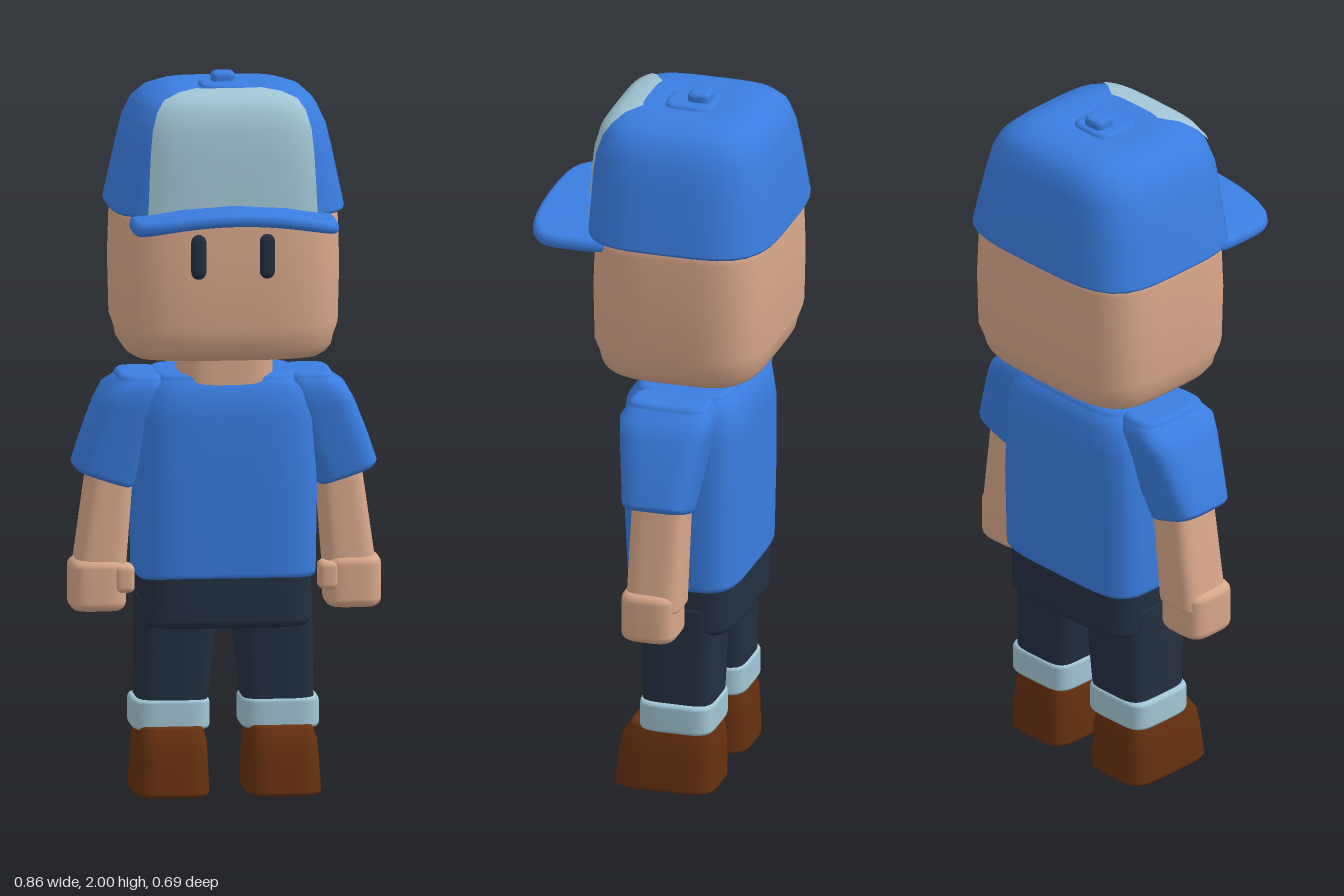
import * as THREE from 'three';

const mat = (name, color) => Object.assign(new THREE.MeshStandardMaterial({ color }), { name });

// Soft block lofted upward through superellipse sections [y, halfX, halfZ, cx, cz, tilt], with bevelled ends
function softBlock(name, material, sections, bevel = 0.02, p = 4, n = 48) {
  const rows = [];
  const end = (s, dir) => {
    const [y, hx, hz, ...rest] = s;
    const out = [[y, 0, 0, ...rest], [y, hx * 0.5, hz * 0.5, ...rest]];
    for (let k = 0; k <= 4; k++) {
      const a = (k / 4) * Math.PI / 2, inset = bevel * (1 - Math.sin(a));
      out.push([y + dir * bevel * (1 - Math.cos(a)), hx - inset, hz - inset, ...rest]);
    }
    return out;
  };
  rows.push(...end(sections[0], 1), ...sections.slice(1, -1), ...end(sections.at(-1), -1).reverse());
  const pos = [], idx = [];
  rows.forEach(([y, hx, hz, cx = 0, cz = 0, tilt = 0], j) => {
    for (let i = 0; i < n; i++) {
      const a = (i / n) * Math.PI * 2, c = Math.cos(a), s = Math.sin(a);
      const r = (Math.abs(c) ** p + Math.abs(s) ** p) ** (-1 / p);
      pos.push(cx + hx * r * c, y + hx * r * c * tilt, cz + hz * r * s);
      if (j === rows.length - 1) continue;
      const q = j * n + i, q2 = j * n + (i + 1) % n;
      idx.push(q, q + n, q2, q2, q + n, q2 + n);
    }
  });
  const g = new THREE.BufferGeometry();
  g.setAttribute('position', new THREE.Float32BufferAttribute(pos, 3));
  g.setIndex(idx);
  g.computeVertexNormals();
  const m = new THREE.Mesh(g, material);
  m.name = name;
  return m;
}

// Block of constant section, from min/max extents
const box = (name, m, [x0, x1], [y0, y1], [z0, z1], bevel, p) => {
  const s = [(x1 - x0) / 2, (z1 - z0) / 2, (x0 + x1) / 2, (z0 + z1) / 2];
  return softBlock(name, m, [[y0, ...s], [y1, ...s]], bevel, p);
};

// Pale front panel: a thin skin following the cap rows
function capPanel(material, rows, widths, p = 4, cols = 24) {
  const pos = [], idx = [];
  widths.forEach((w, j) => {
    const [y, hx, hz, , cz] = rows[j];
    for (let i = 0; i <= cols; i++) {
      const x = w * (2 * i / cols - 1);
      const z = cz + (hz + 0.004) * (1 - Math.abs(x / (hx + 0.004)) ** p) ** (1 / p);
      pos.push(x, y + 0.003 * j / (widths.length - 1), z);
      if (i === cols || j === widths.length - 1) continue;
      const q = j * (cols + 1) + i, u = q + cols + 1;
      idx.push(q, q + 1, u, q + 1, u + 1, u);
    }
  });
  const g = new THREE.BufferGeometry();
  g.setAttribute('position', new THREE.Float32BufferAttribute(pos, 3));
  g.setIndex(idx);
  g.computeVertexNormals();
  const m = new THREE.Mesh(g, material);
  m.name = 'capFrontPanel';
  return m;
}

export function createModel() {
  const blue = mat('blue cloth', 0x3a7de0), pale = mat('pale blue cloth', 0xa2c6d5);
  const skin = mat('skin', 0xd8a78a), navy = mat('dark navy', 0x232f40), brown = mat('brown leather', 0x66300f);
  const model = new THREE.Group();
  model.name = 'figure';

  // Head, neck and eyes
  model.add(softBlock('head', skin, [
    [1.22, 0.295, 0.235, 0, -0.078], [1.32, 0.308, 0.249, 0, -0.078],
    [1.48, 0.312, 0.252, 0, -0.078], [1.67, 0.308, 0.248, 0, -0.078]], 0.06, 4.3));
  model.add(box('neck', skin, [-0.13, 0.13], [1.12, 1.26], [-0.17, 0.07], 0.02));
  for (const s of [-1, 1]) {
    const eye = new THREE.Mesh(new THREE.CapsuleGeometry(0.021, 0.083, 6, 16), navy);
    eye.name = s > 0 ? 'leftEye' : 'rightEye';
    eye.scale.z = 0.6;
    eye.position.set(s * 0.095, 1.522, 0.174);
    model.add(eye);
  }

  // Cap crown, panel, button and brim
  const crown = [
    [1.63, 0.325, 0.268, 0, -0.078], [1.72, 0.308, 0.261, 0, -0.075], [1.8, 0.291, 0.254, 0, -0.071],
    [1.87, 0.274, 0.245, 0, -0.068], [1.92, 0.25, 0.231, 0, -0.067], [1.95, 0.218, 0.207, 0, -0.063],
    [1.967, 0.17, 0.172, 0, -0.06], [1.972, 0.125, 0.12, 0, -0.06], [1.975, 0.07, 0.07, 0, -0.06]];
  model.add(softBlock('capCrown', blue, crown, 0.012));
  model.add(capPanel(pale, crown, [0.235, 0.231, 0.227, 0.22, 0.206, 0.185, 0.142, 0.09]));
  model.add(box('capButton', blue, [-0.033, 0.033], [1.95, 2.0], [-0.114, -0.05], 0.012));
  const brim = box('capBrim', blue, [-0.285, 0.285], [1.63, 1.667], [0.055, 0.346], 0.016, 4.5);
  const bp = brim.geometry.attributes.position;
  for (let i = 0; i < bp.count; i++) bp.setY(i, bp.getY(i) - 0.036 * (bp.getX(i) / 0.285) ** 2);
  brim.geometry.computeVertexNormals();
  model.add(brim);

  // Shirt body and hips
  model.add(softBlock('shirt', blue, [
    [0.6, 0.25, 0.162, 0, -0.083], [0.85, 0.253, 0.17, 0, -0.08], [1.05, 0.243, 0.174, 0, -0.078],
    [1.13, 0.228, 0.165, 0, -0.078], [1.175, 0.2, 0.14, 0, -0.078]], 0.02, 5));
  model.add(box('hips', navy, [-0.237, 0.237], [0.465, 0.64], [-0.235, 0.075], 0.025, 5));

  for (const s of [-1, 1]) {
    const side = s > 0 ? 'left' : 'right';
    const span = (a, b) => [Math.min(s * a, s * b), Math.max(s * a, s * b)];

    // Arm: sleeve, forearm, hand and thumb
    const arm = new THREE.Group();
    arm.name = side + 'Arm';
    arm.add(softBlock('sleeve', blue, [
      [0.875, 0.084, 0.094, s * 0.336, -0.065, s * 0.33], [0.98, 0.09, 0.108, s * 0.302, -0.066, s * 0.25],
      [1.08, 0.09, 0.124, s * 0.268, -0.068, s * 0.1], [1.13, 0.085, 0.132, s * 0.25, -0.07],
      [1.172, 0.065, 0.115, s * 0.235, -0.07]], 0.018));
    arm.add(softBlock('forearm', skin, [
      [0.6, 0.073, 0.078, s * 0.348, -0.064], [0.95, 0.062, 0.078, s * 0.312, -0.07]], 0.01));
    arm.add(box('hand', skin, span(0.275, 0.432), [0.51, 0.655], [-0.133, 0.025], 0.025));
    arm.add(box('thumb', skin, span(0.254, 0.31), [0.563, 0.642], [-0.05, 0.028], 0.016));
    model.add(arm);

    // Leg: trouser leg, cuff and shoe
    const leg = new THREE.Group();
    leg.name = side + 'Leg';
    leg.add(softBlock('trouserLeg', navy, [
      [0.22, 0.097, 0.1, s * 0.149, -0.08], [0.55, 0.112, 0.11, s * 0.13, -0.078]], 0.01, 5));
    leg.add(box('cuff', pale, span(0.043, 0.26), [0.178, 0.264], [-0.187, 0.027], 0.012, 5));
    leg.add(softBlock('shoe', brown, [
      [0, 0.105, 0.145, s * 0.155, -0.045], [0.1, 0.101, 0.139, s * 0.154, -0.05],
      [0.15, 0.098, 0.133, s * 0.153, -0.053], [0.19, 0.09, 0.12, s * 0.152, -0.06]], 0.012, 5));
    model.add(leg);
  }
  return model;
}
